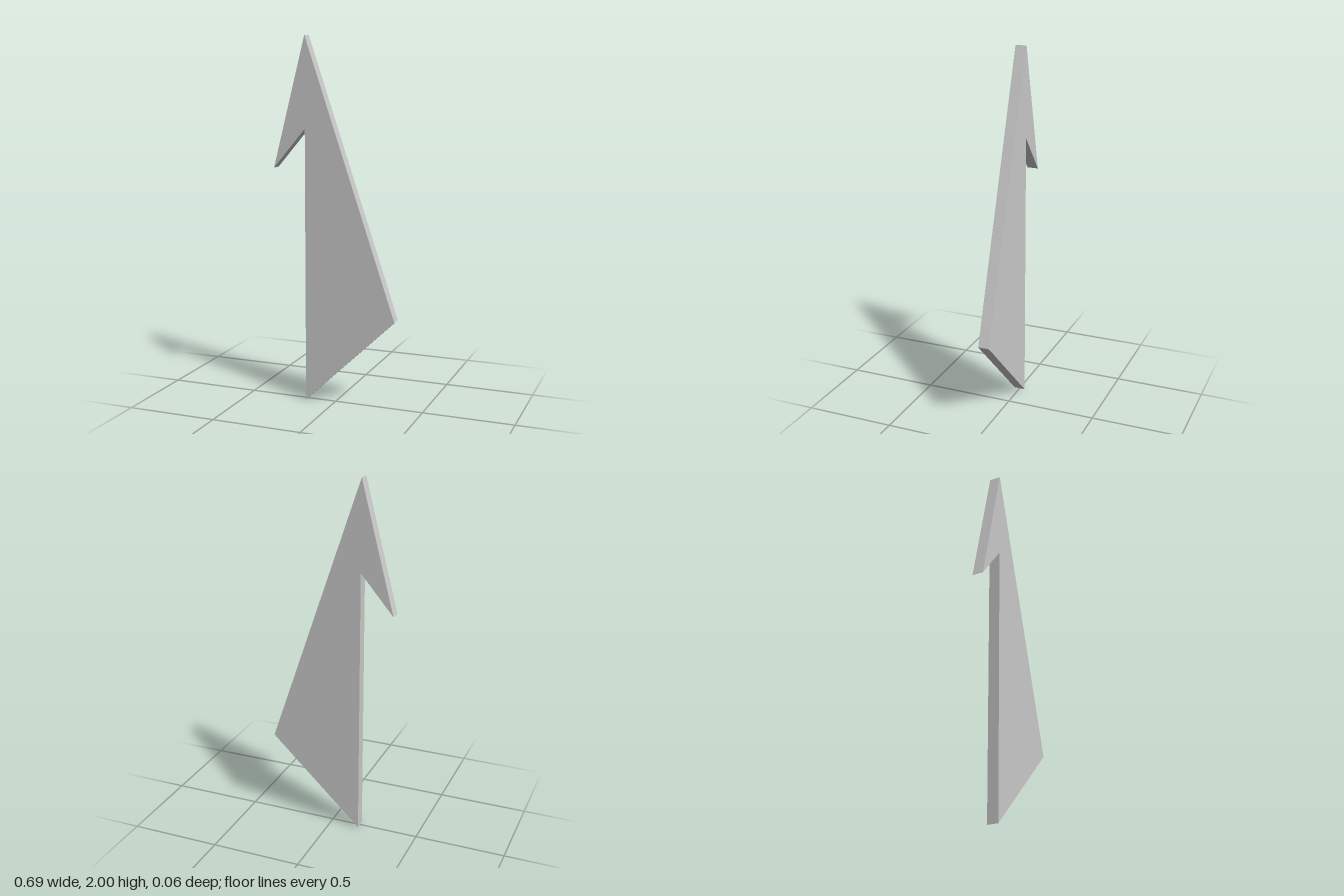
import * as THREE from 'three';

export function createModel() {
  const group = new THREE.Group();
  const thickness = 0.062;

  // Outline, counter-clockwise from the bottom point
  const outline = new THREE.Shape([
    [-0.165, 0],      // bottom point
    [0.347, 0.49],    // right corner
    [-0.165, 2],      // top point
    [-0.347, 1.292],  // barb tip
    [-0.165, 1.507],  // notch
  ].map(([x, y]) => new THREE.Vector2(x, y)));

  // Flat plate with sharp edges, centred on z = 0
  const geometry = new THREE.ExtrudeGeometry(outline, { depth: thickness, bevelEnabled: false });
  geometry.translate(0, 0, -thickness / 2);

  const plate = new THREE.Mesh(
    geometry,
    new THREE.MeshStandardMaterial({ color: 0xcccccc, flatShading: true })
  );
  plate.name = 'barbedPlate';
  group.add(plate);
  return group;
}
